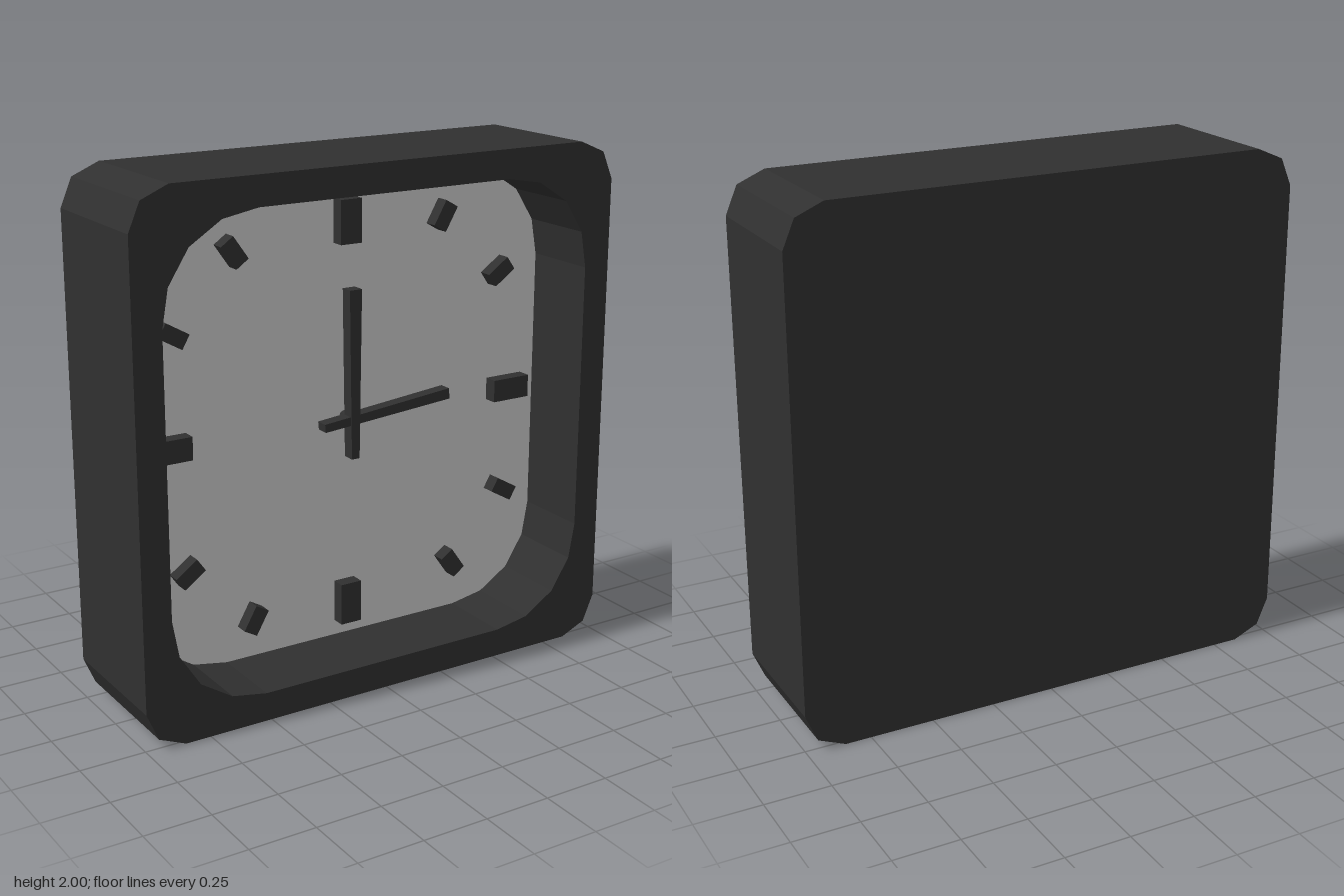
import * as THREE from 'three';

const dark = new THREE.MeshStandardMaterial({ color: 0x303030, flatShading: true });
const pale = new THREE.MeshStandardMaterial({ color: 0xcccccc, flatShading: true });

const DIAL_Z = -0.035, HALF_DEPTH = 0.27;
const OUTER = [[1, 0.85], [0.955, 0.955], [0.85, 1]];
const INNER = [[0.89, 0.52], [0.865, 0.66], [0.785, 0.785], [0.66, 0.865], [0.52, 0.89]];

// Closed outline made by turning one corner through four quarter turns
function outline(corner) {
  const pts = [];
  for (let q = 0; q < 4; q++) {
    for (const [x, y] of corner) {
      const p = [[x, y], [-y, x], [-x, -y], [y, -x]][q];
      pts.push(new THREE.Vector2(p[0], p[1]));
    }
  }
  return pts;
}

function add(parent, name, geometry, material) {
  const mesh = new THREE.Mesh(geometry, material);
  mesh.name = name;
  parent.add(mesh);
  return mesh;
}

function extrude(shape, z0, z1) {
  return new THREE.ExtrudeGeometry(shape, { depth: z1 - z0, bevelEnabled: false }).translate(0, 0, z0);
}

// Bar that widens from its tail to its tip, pointing up before it is turned
function hand(tail, tip, tailHalf, tipHalf, z0, z1) {
  const shape = new THREE.Shape([
    new THREE.Vector2(-tailHalf, tail), new THREE.Vector2(tailHalf, tail),
    new THREE.Vector2(tipHalf, tip), new THREE.Vector2(-tipHalf, tip),
  ]);
  return extrude(shape, z0, z1);
}

export function createModel() {
  const clock = new THREE.Group();
  clock.name = 'wallClock';
  const body = new THREE.Group();
  body.name = 'clockBody';
  body.position.y = 1;
  clock.add(body);

  // Case: solid back and a deep rim around the dial
  add(body, 'caseBack', extrude(new THREE.Shape(outline(OUTER)), -HALF_DEPTH, DIAL_Z - 0.003), dark);
  const rim = new THREE.Shape(outline(OUTER));
  rim.holes.push(new THREE.Path(outline(INNER)));
  add(body, 'caseRim', extrude(rim, DIAL_Z - 0.003, HALF_DEPTH), dark);

  // Dial
  add(body, 'dial', new THREE.ShapeGeometry(new THREE.Shape(outline(INNER))).translate(0, 0, DIAL_Z), pale);

  // Hour markers: one large and two small per quarter
  const markers = new THREE.Group();
  markers.name = 'hourMarkers';
  body.add(markers);
  const large = new THREE.BoxGeometry(0.088, 0.165, 0.055).translate(0, 0.747, DIAL_Z + 0.0265);
  const small = new THREE.BoxGeometry(0.06, 0.105, 0.055).translate(0, 0.837, DIAL_Z + 0.0265);
  for (let q = 0; q < 4; q++) {
    for (const angle of [0, 30, 55]) {
      const mark = add(markers, angle ? 'smallMarker' : 'largeMarker', angle ? small : large, dark);
      mark.rotation.z = -THREE.MathUtils.degToRad(q * 90 + angle);
    }
  }

  // Hands and their pivot
  add(body, 'minuteHand', hand(-0.15, 0.5, 0.017, 0.026, 0, 0.05), dark);
  const hour = add(body, 'hourHand', hand(-0.13, 0.43, 0.016, 0.021, -0.005, 0.045), dark);
  hour.rotation.z = -THREE.MathUtils.degToRad(85);
  add(body, 'pivot', new THREE.CylinderGeometry(0.02, 0.02, 0.08, 8).rotateX(Math.PI / 2).translate(0, 0, 0.004), dark);

  return clock;
}
